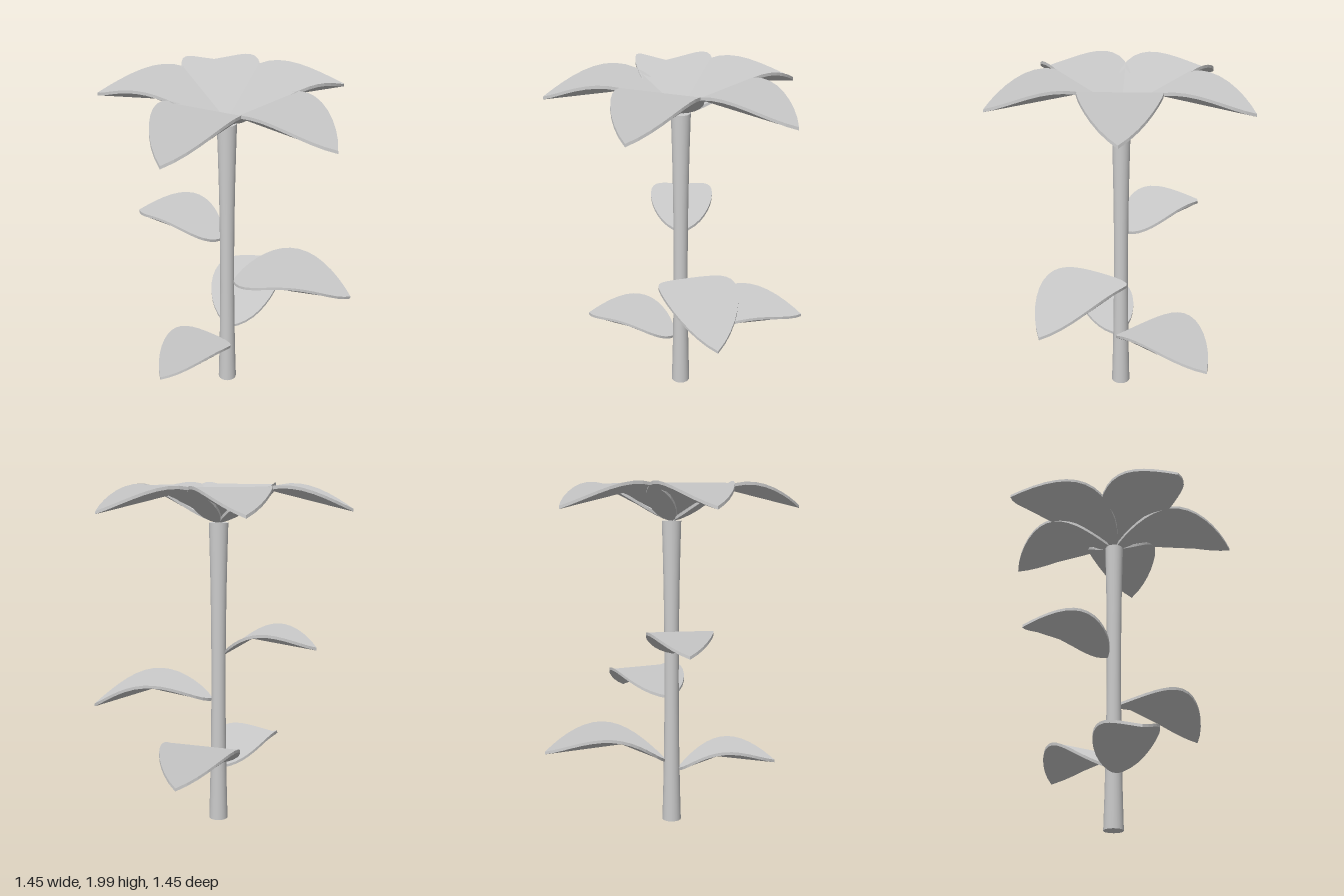
import * as THREE from 'three';

const material = new THREE.MeshStandardMaterial({ color: 0xcccccc });
const THICKNESS = 0.017;

// Thin closed blade along +x, arched along its length.
// Each face is two triangles meeting at a cross fold, plus cupped flaps out to the curved edge.
function bladeGeometry(length, width, arch) {
  const a = length * 0.12, b = length * 0.73, w = width / 1.5;
  const shape = new THREE.Shape();
  shape.moveTo(0, 0);
  shape.bezierCurveTo(a, -w, b, -w, length, 0);
  shape.bezierCurveTo(b, w, a, w, 0, 0);
  const outline = shape.getPoints(16).slice(0, 32);

  const positions = [];
  const put = (i, y) => positions.push(outline[i % 32].x, y, -outline[i % 32].y);
  const face = (i, j, k) => {
    [i, j, k].forEach((n) => put(n, THICKNESS));
    [k, j, i].forEach((n) => put(n, 0));
  };
  // Fills the area between a chord and its stretch of edge, halving it each time
  const flap = (i, j) => {
    if (j - i < 2) return;
    const m = (i + j) / 2;
    face(i, m, j);
    flap(i, m);
    flap(m, j);
  };
  face(0, 8, 24);
  face(8, 16, 24);
  for (let q = 0; q < 32; q += 8) flap(q, q + 8);
  // Rim
  for (let i = 0; i < 32; i++) {
    put(i, 0); put(i + 1, 0); put(i + 1, THICKNESS);
    put(i, 0); put(i + 1, THICKNESS); put(i, THICKNESS);
  }

  const geo = new THREE.BufferGeometry();
  geo.setAttribute('position', new THREE.Float32BufferAttribute(positions, 3));
  // Normals are taken before arching, so the blade shades evenly
  geo.computeVertexNormals();
  const pos = geo.attributes.position;
  for (let i = 0; i < pos.count; i++) {
    pos.setY(i, pos.getY(i) + arch * Math.sin((Math.PI * pos.getX(i)) / length));
  }
  return geo;
}

// Places a blade at a heading (degrees, from +x towards +z), tilted so its tip is raised
function addBlade(parent, name, heading, y, radius, length, width, arch, rise) {
  const a = THREE.MathUtils.degToRad(heading);
  const mesh = new THREE.Mesh(bladeGeometry(length, width, arch), material);
  mesh.name = name;
  mesh.position.set(Math.cos(a) * radius, y, Math.sin(a) * radius);
  mesh.rotation.set(0, -a, Math.asin(rise / length), 'YXZ');
  parent.add(mesh);
}

export function createModel() {
  const model = new THREE.Group();
  model.name = 'flower';
  const plant = new THREE.Group();
  plant.name = 'plant';
  plant.position.z = -0.02;
  model.add(plant);

  // Stem, slimmer at mid height
  const height = 1.78;
  const stemGeo = new THREE.CylinderGeometry(1, 1, height, 20, 10);
  stemGeo.translate(0, height / 2, 0);
  const pos = stemGeo.attributes.position;
  for (let i = 0; i < pos.count; i++) {
    const r = 0.042 + 0.014 * Math.pow(pos.getY(i) / 0.9 - 1, 2);
    pos.setX(i, pos.getX(i) * r);
    pos.setZ(i, pos.getZ(i) * r);
  }
  const stem = new THREE.Mesh(stemGeo, material);
  stem.name = 'stem';
  plant.add(stem);

  // Five petals around the stem top
  const petals = new THREE.Group();
  petals.name = 'petals';
  plant.add(petals);
  [25, 96.5, 167, 249, 316.5].forEach((heading) =>
    addBlade(petals, 'petal', heading, 1.775, 0, 0.755, 0.44, 0.165, 0.075));

  // Leaves up the stem: heading, height, start radius, length, width, arch, rise
  const leaves = new THREE.Group();
  leaves.name = 'leaves';
  plant.add(leaves);
  [
    [182, 0.305, 0.04, 0.575, 0.35, 0.12, 0.065],
    [344, 0.36, 0.04, 0.715, 0.43, 0.15, 0.09],
    [60.5, 0.735, 0.035, 0.71, 0.43, 0.15, -0.05],
    [257, 1.02, 0.04, 0.55, 0.37, 0.12, 0.065],
  ].forEach((leaf) => addBlade(leaves, 'leaf', ...leaf));

  return model;
}
